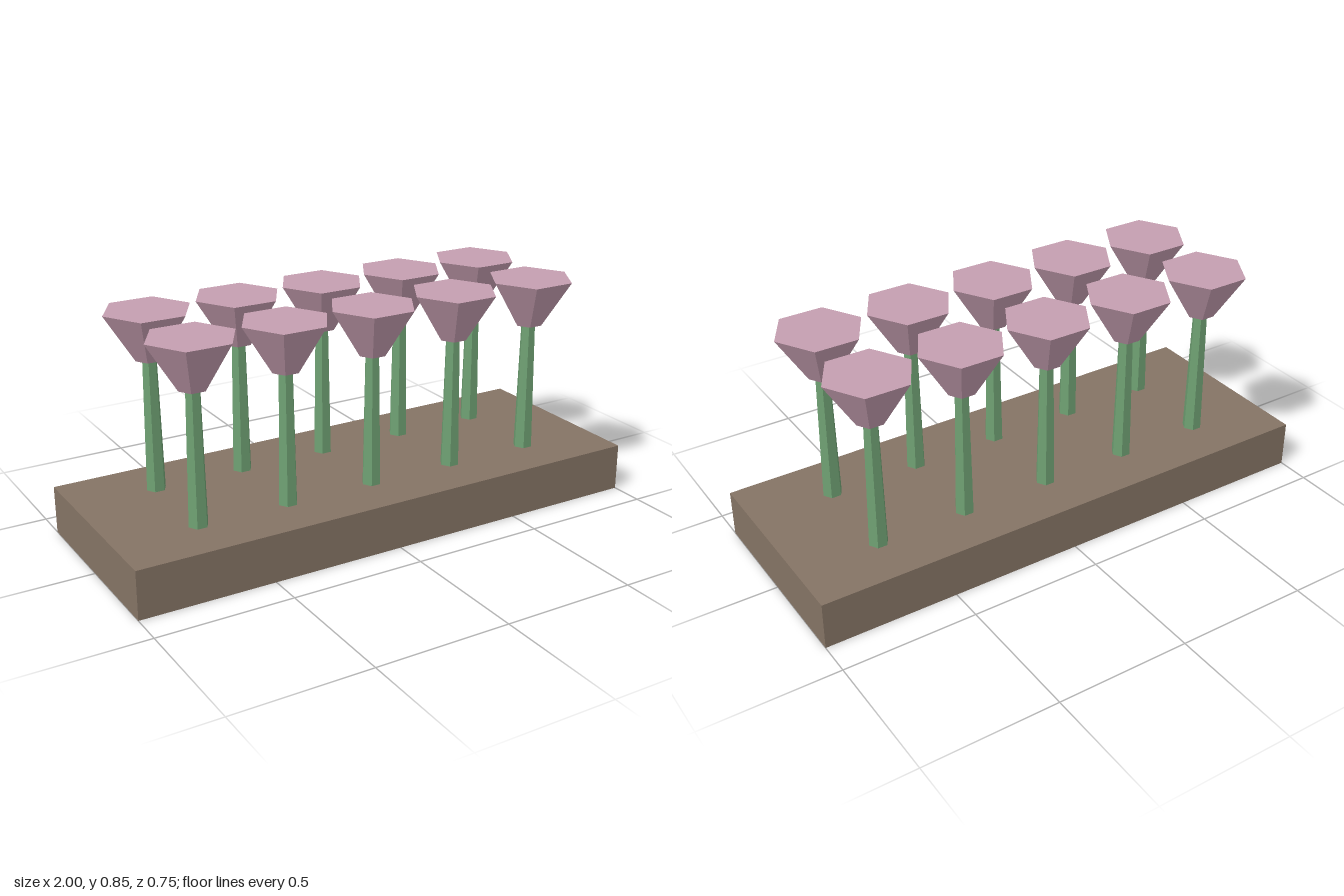
import * as THREE from 'three';

const material = (name, color) => {
  const m = new THREE.MeshStandardMaterial({ color, flatShading: true });
  m.name = name;
  return m;
};

// Six-sided tapered prism with corners pointing along x, spanning y0 to y1
function hexPrism(topRadius, bottomRadius, y0, y1) {
  const geometry = new THREE.CylinderGeometry(topRadius, bottomRadius, y1 - y0, 6);
  geometry.rotateY(Math.PI / 2);
  geometry.translate(0, (y0 + y1) / 2, 0);
  return geometry;
}

function addPart(parent, name, geometry, mat) {
  const mesh = new THREE.Mesh(geometry, mat);
  mesh.name = name;
  parent.add(mesh);
}

export function createModel() {
  const soil = material('soil brown', 0x857465);
  const green = material('stem green', 0x6fa173);
  const pink = material('blossom pink', 0xc59eb0);

  const model = new THREE.Group();
  model.name = 'flowerBed';

  // Soil bed
  const baseHeight = 0.178, stemTop = 0.667, flowerTop = 0.845;
  const bed = new THREE.BoxGeometry(2, baseHeight, 0.75);
  bed.translate(0, baseHeight / 2, 0);
  addPart(model, 'bed', bed, soil);

  // Two rows of five flowers
  const stem = hexPrism(0.027, 0.0362, baseHeight, stemTop);
  const blossom = hexPrism(0.161, 0.051, stemTop, flowerTop);
  for (const z of [-0.176, 0.176]) {
    for (let i = -2; i <= 2; i++) {
      const flower = new THREE.Group();
      flower.name = 'flower';
      addPart(flower, 'stem', stem, green);
      addPart(flower, 'blossom', blossom, pink);
      flower.position.set(i * 0.344, 0, z);
      model.add(flower);
    }
  }
  return model;
}
